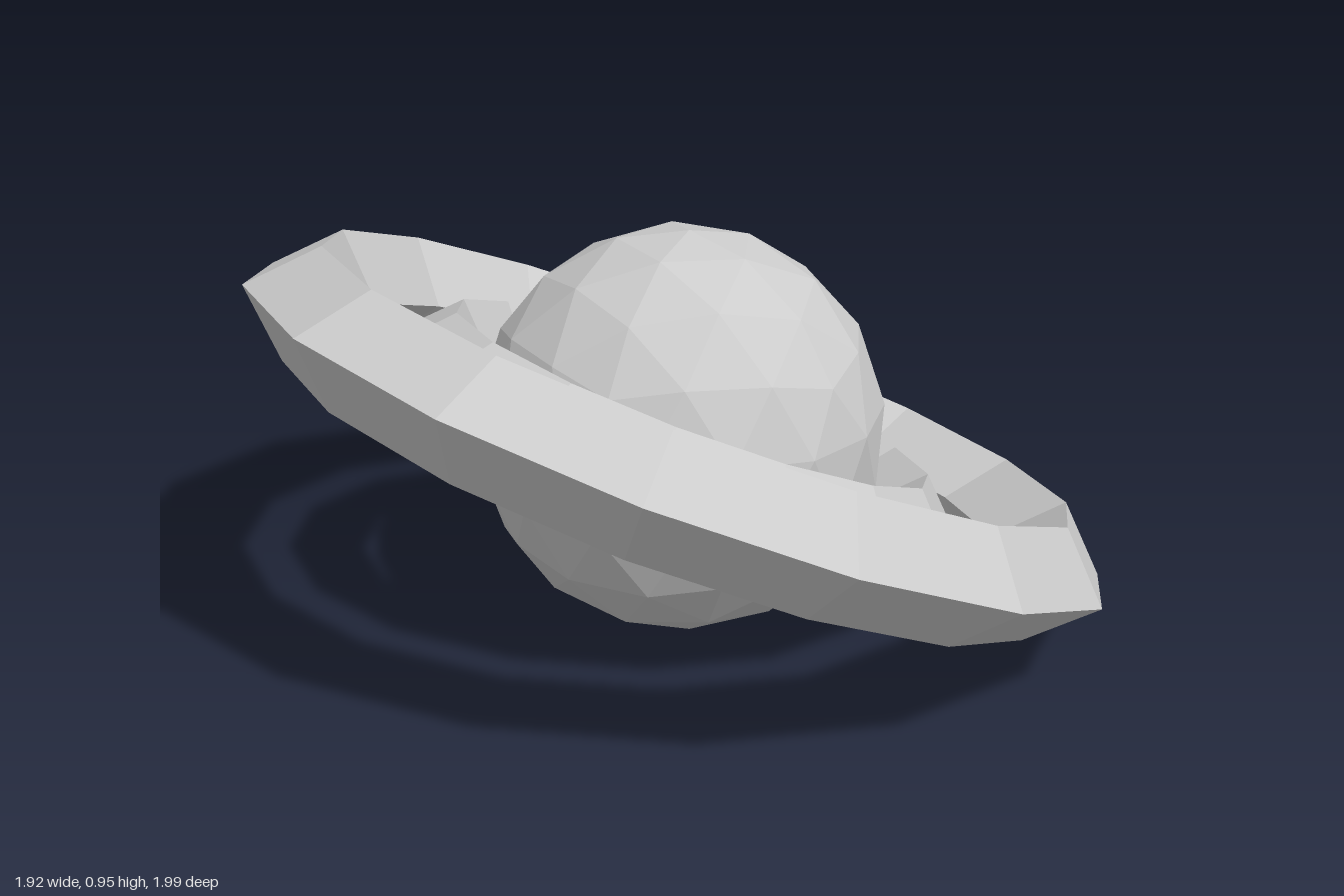
import * as THREE from 'three';

// Low-poly ringed planet: a faceted ball with two tilted diamond-section rings
export function createModel() {
  const model = new THREE.Group();
  const material = new THREE.MeshStandardMaterial({ color: 0xcccccc, flatShading: true });
  const centreY = 0.485;

  // Planet, turned so that a corner points almost straight up
  const planetShape = new THREE.IcosahedronGeometry(0.462, 2);
  planetShape.rotateZ(Math.atan(2 / (1 + Math.sqrt(5))) - 0.04);
  const planet = new THREE.Mesh(planetShape, material);
  planet.name = 'planet';
  planet.position.y = centreY;
  model.add(planet);

  // Shared ring plane: low on the left, high at the front
  const axis = new THREE.Vector3(0.36, 1, -0.245).normalize();
  const start = new THREE.Vector3(0.01, 0.24, 0.99).projectOnPlane(axis).normalize();
  const side = new THREE.Vector3().crossVectors(axis, start);
  const rings = new THREE.Group();
  rings.name = 'rings';
  rings.quaternion.setFromRotationMatrix(new THREE.Matrix4().makeBasis(start, side, axis));
  rings.position.set(0, centreY, -0.008);

  // Each ring: name, radius, half thickness
  for (const [name, radius, half] of [['outerRing', 0.893, 0.132], ['innerRing', 0.57, 0.085]]) {
    const ring = new THREE.Mesh(new THREE.TorusGeometry(radius, half, 4, 15), material);
    ring.name = name;
    rings.add(ring);
  }
  model.add(rings);
  return model;
}
